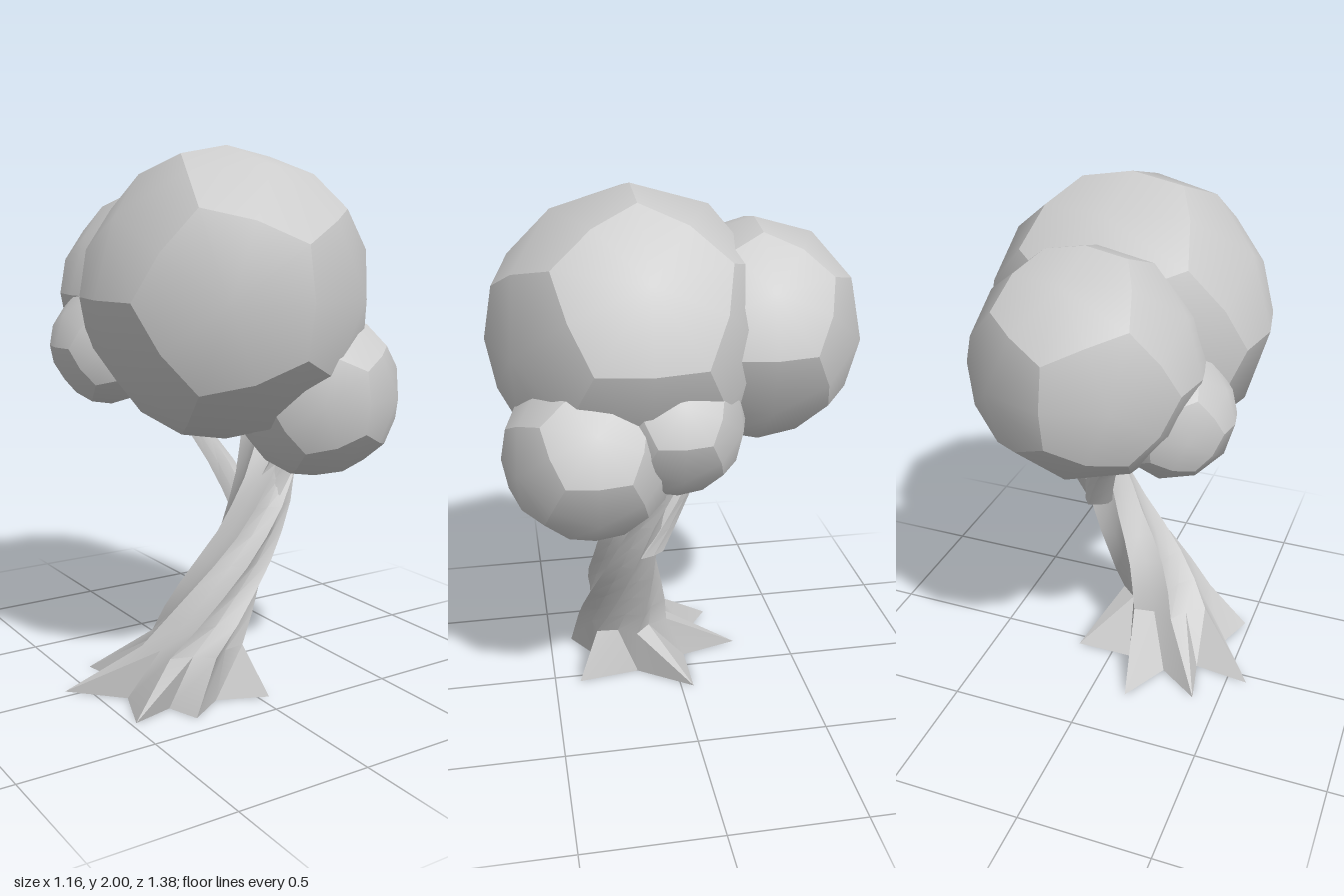
import * as THREE from 'three';
import { mergeGeometries, toCreasedNormals } from 'three/addons/utils/BufferGeometryUtils.js';

const material = new THREE.MeshStandardMaterial({ color: 0xcccccc });
const PHI = (1 + Math.sqrt(5)) / 2;

// Unit ball of 12 domed pentagons, smooth within each and creased between them
function pentagonBall() {
  const panels = [];
  for (const a of [1, -1]) for (const b of [1, -1]) for (let k = 0; k < 3; k++) {
    const cyc = (x, y, z) => new THREE.Vector3(...[[x, y, z], [z, x, y], [y, z, x]][k]).normalize();
    const centre = cyc(a * PHI, b, 0);
    const corner = cyc(a * PHI, 0, 1 / PHI);
    const corners = [];
    for (let i = 0; i < 5; i++) {
      corners.push(corner.clone().applyAxisAngle(centre, (i * Math.PI * 2) / 5));
    }
    const pts = [centre];
    corners.forEach((c, i) => pts.push(c, c.clone().add(corners[(i + 1) % 5]).normalize()));
    const index = [];
    for (let i = 0; i < 10; i++) index.push(0, 1 + i, 1 + ((i + 1) % 10));
    const panel = new THREE.BufferGeometry().setFromPoints(pts);
    panel.setIndex(index);
    panel.computeVertexNormals();
    panels.push(panel);
  }
  return mergeGeometries(panels);
}

// Skin a stack of closed rings, capped at both ends
function loft(rings) {
  const n = rings[0].length, pts = rings.flat(), index = [];
  for (let r = 0; r < rings.length - 1; r++) {
    for (let i = 0; i < n; i++) {
      const a = r * n + i, b = r * n + ((i + 1) % n);
      index.push(a, a + n, b, b, a + n, b + n);
    }
  }
  const mean = (ring) => ring.reduce((s, p) => s.add(p), new THREE.Vector3()).divideScalar(n);
  const top = (rings.length - 1) * n, c0 = pts.length;
  pts.push(mean(rings[0]), mean(rings[rings.length - 1]));
  for (let i = 0; i < n; i++) {
    const j = (i + 1) % n;
    index.push(c0, i, j, c0 + 1, top + j, top + i);
  }
  const g = new THREE.BufferGeometry().setFromPoints(pts);
  g.setIndex(index);
  return toCreasedNormals(g, 0.5);
}

// Ridged ring: alternating peaks and valleys around a centre
function starRing([x, y, z, radius], peaks, turn, depth) {
  const ring = [];
  for (let i = 0; i < peaks * 2; i++) {
    const t = turn + (i * Math.PI) / peaks;
    const r = radius * (i % 2 ? depth : 1);
    ring.push(new THREE.Vector3(x + r * Math.cos(t), y, z + r * Math.sin(t)));
  }
  return ring;
}

// Smoothly sampled twisting limb; stations are [x, y, z, radius]
function limbRings(stations, steps, peaks, startTurn, twist, depth) {
  const path = new THREE.CatmullRomCurve3(stations.map((s) => new THREE.Vector3(s[0], s[1], s[2])));
  const rings = [];
  for (let k = 0; k <= steps; k++) {
    const u = k / steps, p = path.getPoint(u);
    const f = u * (stations.length - 1), i = Math.min(Math.floor(f), stations.length - 2);
    const radius = THREE.MathUtils.lerp(stations[i][3], stations[i + 1][3], f - i);
    rings.push(starRing([p.x, p.y, p.z, radius], peaks, startTurn + twist * u, depth));
  }
  return rings;
}

export function createModel() {
  const group = new THREE.Group();
  const add = (name, geometry) => {
    const mesh = new THREE.Mesh(geometry, material);
    mesh.name = name;
    group.add(mesh);
    return mesh;
  };

  // Foliage: x, y, z, radius
  const ball = pentagonBall();
  const clumps = {
    mainFoliage: [0, 1.475, 0.16, 0.53],
    backFoliage: [0, 1.465, -0.285, 0.41],
    frontLeftFoliage: [0.27, 1.12, 0.35, 0.31],
    leftFoliage: [0.275, 1.22, 0.055, 0.26],
    backRightFoliage: [-0.28, 1.28, -0.21, 0.23],
  };
  for (const [name, [x, y, z, r]] of Object.entries(clumps)) {
    const clump = add(name, ball);
    clump.position.set(x, y, z);
    clump.scale.setScalar(r);
  }

  // Root star: seven uneven tips (x, z) with valleys between them
  const tips = [[0.15, -0.05], [0.04, 0.4], [-0.28, 0.41], [-0.48, 0.33],
    [-0.58, -0.04], [-0.4, -0.2], [-0.14, -0.28]];
  const cx = -0.2, cz = 0.12;
  const roots = [];
  tips.forEach(([x, z], i) => {
    const [nx, nz] = tips[(i + 1) % tips.length];
    const valley = new THREE.Vector2((x + nx) / 2 - cx, (z + nz) / 2 - cz).setLength(0.21);
    roots.push(new THREE.Vector3(x, 0.01, z), new THREE.Vector3(cx + valley.x, 0.01, cz + valley.y));
  });

  // Leaning trunk, twisting above the roots
  add('trunk', loft([roots, ...limbRings([
    [-0.165, 0.2, 0.19, 0.19],
    [-0.05, 0.4, 0.205, 0.155],
    [0.075, 0.6, 0.21, 0.125],
    [0.165, 0.8, 0.19, 0.115],
    [0.23, 1.0, 0.12, 0.11],
    [0.27, 1.18, 0.06, 0.08],
  ], 10, 7, -0.15, -2.3, 0.8)]));

  // Branch to the back
  add('backBranch', loft(limbRings([
    [0.13, 0.64, 0.14, 0.07],
    [0.09, 0.78, 0.05, 0.06],
    [0.02, 0.94, -0.05, 0.055],
    [-0.09, 1.1, -0.14, 0.075],
    [-0.22, 1.26, -0.19, 0.08],
  ], 6, 4, 0.3, -1, 0.8)));

  // Short fork into the front clump
  add('frontBranch', loft(limbRings([
    [0.14, 0.72, 0.22, 0.08],
    [0.2, 0.88, 0.25, 0.07],
    [0.26, 1.05, 0.32, 0.06],
  ], 4, 4, 0, -0.8, 0.8)));

  return group;
}
